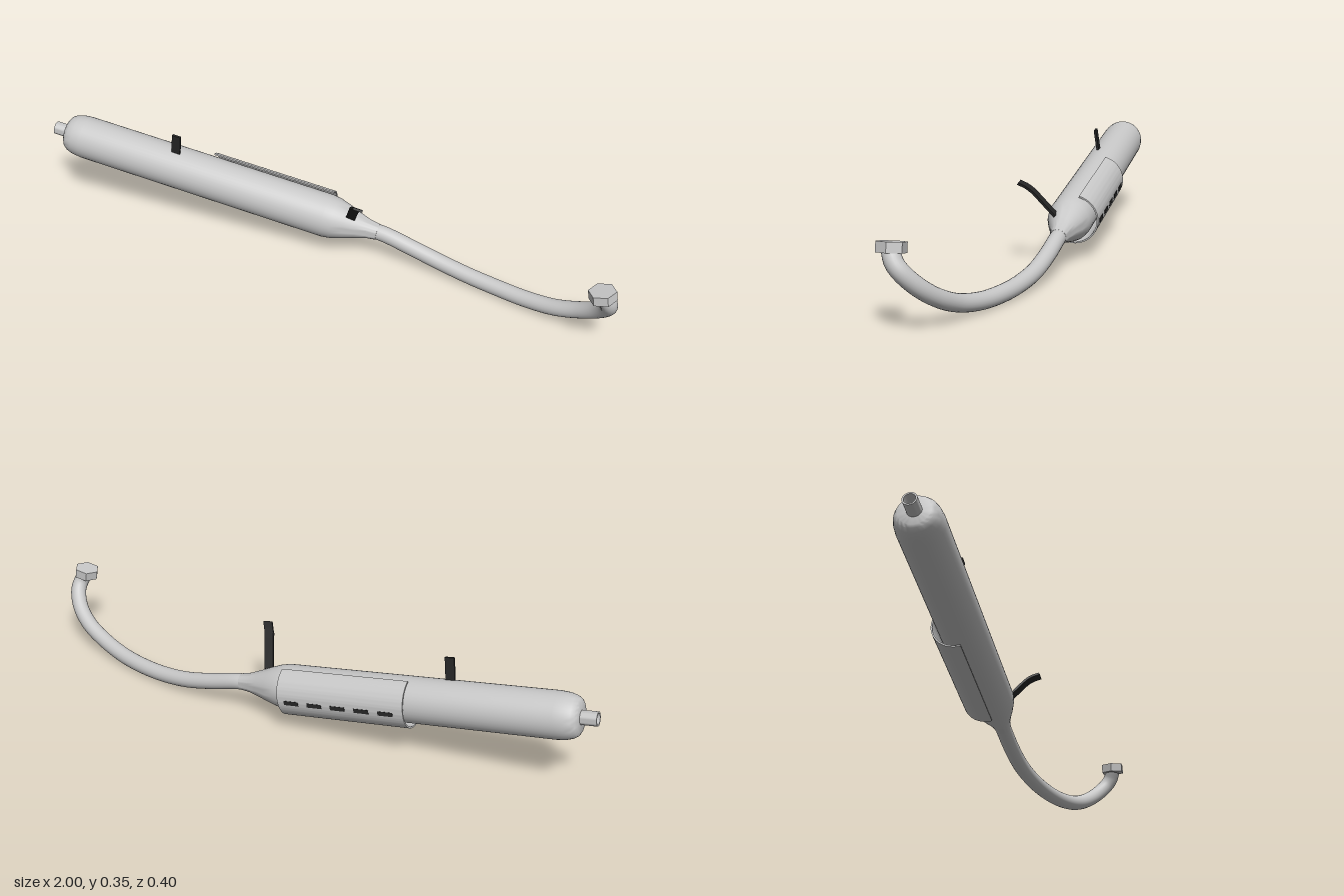
import * as THREE from 'three';
import { toCreasedNormals } from 'three/addons/utils/BufferGeometryUtils.js';

const metal = new THREE.MeshStandardMaterial({ color: 0xc8c8c8 });
metal.name = 'brushed metal';
const black = new THREE.MeshStandardMaterial({ color: 0x262626 });
black.name = 'black steel';

const TILT = -0.1426;

function add(parent, name, geometry, material) {
  const mesh = new THREE.Mesh(geometry, material);
  mesh.name = name;
  parent.add(mesh);
  return mesh;
}

// Turned part lying along x; profile entries are [x, radius]
function turned(profile) {
  const g = new THREE.LatheGeometry(profile.map(([x, r]) => new THREE.Vector2(r, x)), 40);
  g.rotateZ(-Math.PI / 2);
  return toCreasedNormals(g, 0.6);
}

// Flat steel strip bent along a path, with its width along the silencer
function strip(path, width, thickness) {
  const pts = path.map((p) => new THREE.Vector3(...p));
  const side = new THREE.Vector3(Math.cos(TILT), Math.sin(TILT), 0);
  const pos = [];
  const index = [];
  pts.forEach((p, i) => {
    const tangent = pts[Math.min(i + 1, pts.length - 1)].clone().sub(pts[Math.max(i - 1, 0)]);
    const normal = tangent.cross(side).normalize();
    for (const [a, b] of [[-1, -1], [-1, 1], [1, 1], [1, -1]]) {
      const v = p.clone().addScaledVector(side, a * width / 2).addScaledVector(normal, b * thickness / 2);
      pos.push(v.x, v.y, v.z);
    }
    if (i === 0) return;
    for (let k = 0; k < 4; k++) {
      const a = (i - 1) * 4 + k, b = (i - 1) * 4 + (k + 1) % 4;
      index.push(a, a + 4, b, b, a + 4, b + 4);
    }
  });
  const e = (pts.length - 1) * 4;
  index.push(0, 1, 2, 0, 2, 3, e, e + 2, e + 1, e, e + 3, e + 2);
  const g = new THREE.BufferGeometry();
  g.setAttribute('position', new THREE.Float32BufferAttribute(pos, 3));
  g.setIndex(index);
  const flat = g.toNonIndexed();
  flat.computeVertexNormals();
  return flat;
}

export function createModel() {
  const model = new THREE.Group();
  model.name = 'exhaust';

  // Silencer: everything here runs along local x
  const silencer = new THREE.Group();
  silencer.name = 'silencer';
  silencer.position.set(0, 0.1295, -0.1065);
  silencer.rotation.set(0, -0.007, TILT);
  model.add(silencer);

  add(silencer, 'silencerBody', turned([
    [-0.957, 0], [-0.957, 0.048], [-0.952, 0.056], [-0.94, 0.064], [-0.92, 0.07], [-0.89, 0.073],
    [0.0, 0.073], [0.03, 0.069], [0.07, 0.057], [0.11, 0.043], [0.145, 0.032], [0.18, 0.0268], [0.185, 0],
  ]), metal);

  // Hollow outlet
  add(silencer, 'tailpipe', turned([
    [-0.955, 0], [-0.955, 0.017], [-1.007, 0.017], [-1.007, 0.022], [-0.95, 0.022],
  ]), metal);

  // Curved heat shield around the back
  const from = THREE.MathUtils.degToRad(-100), to = THREE.MathUtils.degToRad(75);
  const arc = new THREE.Shape();
  arc.absarc(0.009, -0.002, 0.083, from, to, false);
  arc.absarc(0.009, -0.002, 0.078, to, from, true);
  const shell = new THREE.ExtrudeGeometry(arc, { depth: 0.432, bevelEnabled: false, curveSegments: 28 });
  shell.rotateY(Math.PI / 2).translate(-0.43, 0, 0);
  add(silencer, 'heatShield', toCreasedNormals(shell, 0.6), metal);

  // Row of shield slots
  for (let i = 0; i < 5; i++) {
    const slot = add(silencer, 'shieldSlot', new THREE.BoxGeometry(0.05, 0.014, 0.005), black);
    slot.position.set(-0.047 - i * 0.081, -0.01, -0.0905);
  }

  // Mounting brackets
  add(model, 'rearBracket', strip([[-0.534, 0.276, -0.091], [-0.524, 0.348, -0.082]], 0.03, 0.008), black);
  add(model, 'frontBracket', strip([
    [0.091, 0.157, -0.078], [0.122, 0.236, -0.015], [0.128, 0.248, -0.002], [0.136, 0.257, 0.008], [0.148, 0.269, 0.028],
  ], 0.032, 0.008), black);

  // Header pipe
  const path = new THREE.CatmullRomCurve3([
    [0.15, 0.108, -0.105], [0.2, 0.1, -0.105], [0.3, 0.072, -0.098], [0.4, 0.047, -0.085], [0.5, 0.032, -0.064],
    [0.6, 0.0268, -0.038], [0.7, 0.03, -0.006], [0.8, 0.048, 0.03], [0.885, 0.082, 0.061], [0.943, 0.124, 0.096],
    [0.972, 0.168, 0.132], [0.972, 0.195, 0.152], [0.958, 0.225, 0.164],
  ].map((p) => new THREE.Vector3(...p)));
  add(model, 'headerPipe', new THREE.TubeGeometry(path, 90, 0.0265, 24), metal);

  // Hexagonal flange nut
  const hex = new THREE.CylinderGeometry(0.043, 0.043, 0.03, 6).rotateY(Math.PI / 6);
  const nut = add(model, 'flangeNut', toCreasedNormals(hex, 0.3), metal);
  nut.position.set(0.953, 0.231, 0.164);
  nut.rotation.z = 0.17;

  return model;
}
